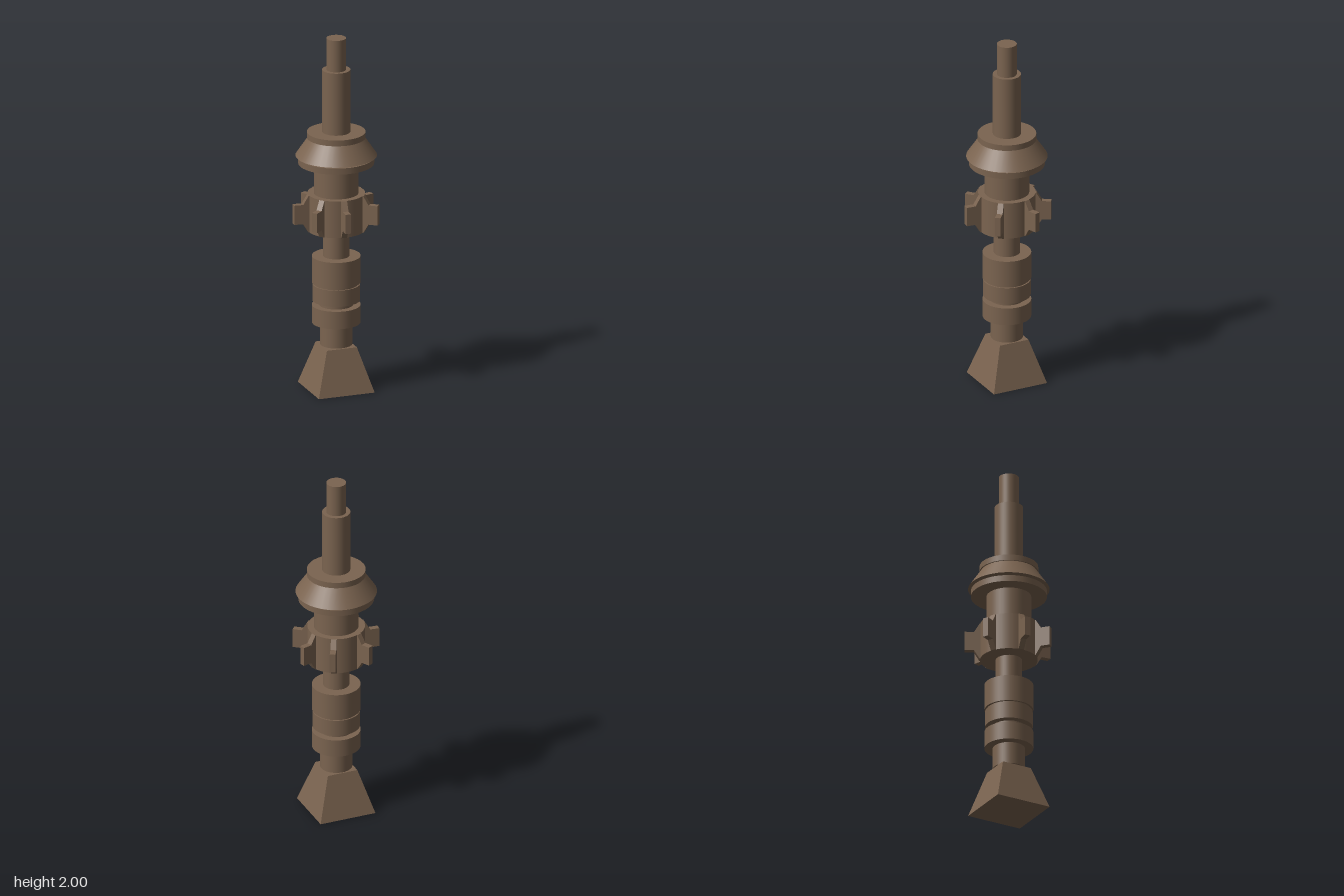
import * as THREE from 'three';

export function createModel() {
  const model = new THREE.Group();
  const brown = new THREE.MeshStandardMaterial({ color: 0x7b6450 });
  brown.name = 'weathered brown';
  const axis = new THREE.Group();
  axis.name = 'column';
  axis.position.z = -0.012;
  model.add(axis);

  const add = (name, geometry) => {
    const mesh = new THREE.Mesh(geometry, brown);
    mesh.name = name;
    axis.add(mesh);
    return mesh;
  };

  // Round sections: name, bottom y, top y, bottom radius, top radius
  const sections = [
    ['lowerNeck', 0.25, 0.375, 0.088, 0.088],
    ['lowerDrum', 0.375, 0.475, 0.133, 0.133],
    ['drumGroove', 0.475, 0.502, 0.093, 0.093],
    ['middleDrum', 0.502, 0.595, 0.13, 0.13],
    ['drumSeam', 0.595, 0.605, 0.122, 0.122],
    ['upperDrum', 0.605, 0.755, 0.133, 0.133],
    ['middleNeck', 0.755, 0.905, 0.072, 0.072],
    ['finHub', 0.905, 1.115, 0.157, 0.157],
    ['upperNeck', 1.115, 1.285, 0.122, 0.122],
    ['collarRing', 1.285, 1.32, 0.207, 0.207],
    ['collarGroove', 1.32, 1.33, 0.185, 0.185],
    ['collarCone', 1.33, 1.432, 0.222, 0.153],
    ['collarCap', 1.432, 1.465, 0.16, 0.16],
    ['shaft', 1.465, 1.82, 0.077, 0.077],
    ['tip', 1.82, 2, 0.054, 0.054],
  ];
  for (const [name, y0, y1, r0, r1] of sections) {
    const mesh = add(name, new THREE.CylinderGeometry(r1, r0, y1 - y0, 40));
    mesh.position.y = (y0 + y1) / 2;
  }

  // Square tapered foot
  const foot = new THREE.CylinderGeometry(0.087 * Math.SQRT2, 0.162 * Math.SQRT2, 0.245, 4);
  foot.rotateY(Math.PI / 4);
  const footFlat = foot.toNonIndexed();
  footFlat.computeVertexNormals();
  add('foot', footFlat).position.y = 0.1225;

  // Chamfered fins around the hub, unevenly spaced
  const profile = new THREE.Shape([
    [0.1, 0.905], [0.16, 0.905], [0.19, 0.955], [0.241, 0.955],
    [0.241, 1.065], [0.19, 1.065], [0.16, 1.115], [0.1, 1.115],
  ].map(([x, y]) => new THREE.Vector2(x, y)));
  const finGeometry = new THREE.ExtrudeGeometry(profile, { depth: 0.032, bevelEnabled: false });
  finGeometry.translate(0, 0, -0.016);
  for (const degrees of [-28, 28, 73.5, 129, 185, 230, 275]) {
    add('fin', finGeometry).rotation.y = THREE.MathUtils.degToRad(90 - degrees);
  }

  return model;
}
